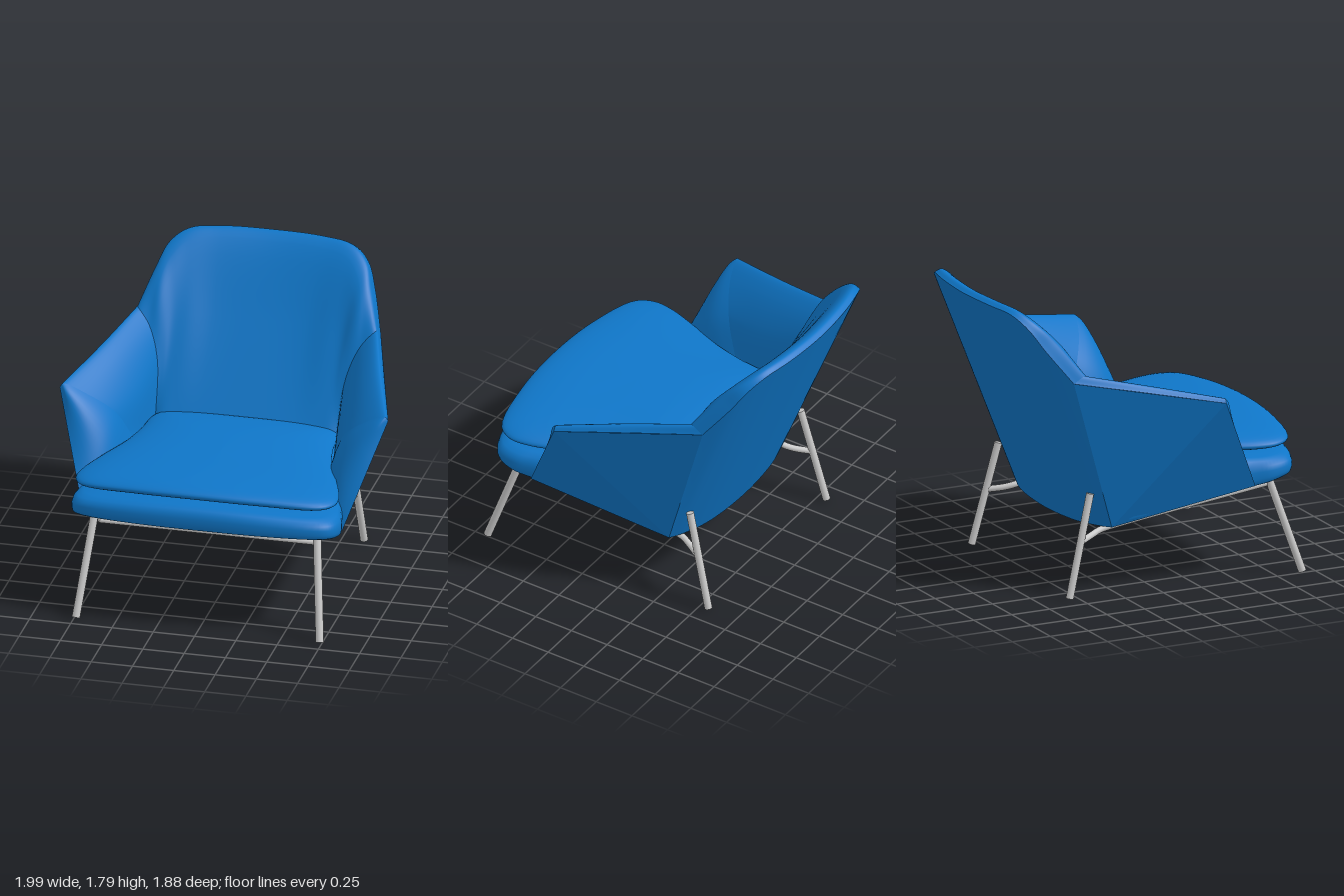
import * as THREE from 'three';

const V = (p) => new THREE.Vector3(...p);
const flipX = (p) => new THREE.Vector3(-p.x, p.y, p.z);
const spline = (pts, n, closed = false) => {
  const c = new THREE.CatmullRomCurve3(pts, closed, 'centripetal');
  return Array.from({ length: closed ? n : n + 1 }, (_, i) => c.getPoint(i / n));
};

// Surface through rows of points
function grid(rows, { flip = false, closed = false } = {}) {
  const n = rows[0].length, index = [];
  for (let j = 0; j < rows.length - 1; j++) {
    for (let i = 0; i < (closed ? n : n - 1); i++) {
      const a = j * n + i, b = j * n + (i + 1) % n, c = a + n, d = b + n;
      index.push(...(flip ? [a, b, c, b, d, c] : [a, c, b, b, c, d]));
    }
  }
  const g = new THREE.BufferGeometry().setFromPoints(rows.flat());
  g.setIndex(index);
  g.computeVertexNormals();
  return g;
}

// Smooth rows through a few control columns
function loft(columns, nv, nu) {
  const cols = columns.map((c) => spline(c, nv));
  const across = cols[0].map((_, i) => spline(cols.map((c) => c[i]), nu));
  return across[0].map((_, j) => across.map((line) => line[j]));
}

// Stations from back centre to arm front: outer edge, rim, three inner points, outer bottom
const STATIONS = [
  [[0, 1.765, -0.94], [0, 1.785, -0.9], [0, 1.74, -0.83], [0, 1.35, -0.57], [0, 0.78, -0.2], [0, 0.38, -0.4]],
  [[0.3, 1.765, -0.92], [0.3, 1.785, -0.88], [0.3, 1.74, -0.81], [0.28, 1.35, -0.56], [0.28, 0.78, -0.2], [0.28, 0.385, -0.385]],
  [[0.5, 1.75, -0.875], [0.49, 1.77, -0.835], [0.47, 1.72, -0.765], [0.42, 1.35, -0.53], [0.42, 0.78, -0.2], [0.42, 0.39, -0.36]],
  [[0.6, 1.68, -0.815], [0.595, 1.7, -0.76], [0.56, 1.64, -0.68], [0.5, 1.3, -0.49], [0.5, 0.78, -0.2], [0.5, 0.395, -0.335]],
  [[0.66, 1.55, -0.73], [0.65, 1.58, -0.65], [0.61, 1.5, -0.56], [0.54, 1.22, -0.43], [0.53, 0.78, -0.21], [0.57, 0.4, -0.31]],
  [[0.73, 1.35, -0.58], [0.72, 1.385, -0.5], [0.64, 1.3, -0.45], [0.57, 1.12, -0.37], [0.545, 0.78, -0.22], [0.63, 0.405, -0.28]],
  [[0.86, 1.268, -0.145], [0.835, 1.3, -0.12], [0.74, 1.22, -0.08], [0.62, 1.03, -0.08], [0.575, 0.78, -0.08], [0.71, 0.49, 0.15]],
  [[0.995, 1.185, 0.29], [0.975, 1.21, 0.29], [0.84, 1.14, 0.25], [0.69, 1.0, 0.16], [0.6, 0.78, 0.05], [0.79, 0.585, 0.585]],
].map((s) => s.map(V));

// Padded slab: closed outline shrunk ring by ring along a profile of [scale, level]
function pad(half, centreZ, profile, height) {
  const right = half.map(([x, z]) => new THREE.Vector3(x, 0, z));
  const left = right.slice(1, -1).reverse().map(flipX);
  const outline = spline([...right, ...left], 96, true);
  const rows = profile.map(([s, t]) => outline.map((p) => {
    const x = p.x * s, z = centreZ + (p.z - centreZ) * s;
    return new THREE.Vector3(x, height(x, z, t), z);
  }));
  return grid(rows, { closed: true });
}

export function createModel() {
  const group = new THREE.Group();
  const fabric = new THREE.MeshStandardMaterial({ color: 0x0f76c8, side: THREE.DoubleSide });
  fabric.name = 'blue fabric';
  const metal = new THREE.MeshStandardMaterial({ color: 0xcacaca });
  metal.name = 'pale metal';
  const add = (name, geometry, material = fabric) => {
    const m = new THREE.Mesh(geometry, material);
    m.name = name;
    group.add(m);
    return m;
  };

  // Backrest, front padding with rim and outer panel
  const half = STATIONS.slice(0, 6);
  const back = [...half.slice(1).reverse().map((s) => s.map(flipX)), ...half];
  add('backPadding', grid(loft(back.map((s) => s.slice(0, 5)), 28, 60), { flip: true }));
  add('backPanel', grid(loft(back.map((s) => [s[0], s[5]]), 8, 60)));

  // Arms: padding, folded outer panel and front facet
  const arm = STATIONS.slice(5);
  const padding = loft(arm.map((s) => s.slice(0, 5)), 28, 16);
  const tip = arm[2];
  const seam = padding[padding.length - 1];
  const edge = spline([tip[0], tip[5]], seam.length - 1);
  const bulge = new THREE.Vector3(-0.06, 0, 0.06);
  const facet = Array.from({ length: 11 }, (_, j) => seam.map((p, i) => {
    const t = j / 10, k = 4 * t * (1 - t) * Math.sin(Math.PI * 0.5 * i / (seam.length - 1));
    return edge[i].clone().lerp(p, t).addScaledVector(bulge, k);
  }));
  const panel = [[arm[0][0], arm[0][5]], [tip[0], tip[5]]];
  for (const side of ['left', 'right']) {
    const mirrored = side === 'right';
    const rows = (r) => (mirrored ? r.map((row) => row.map(flipX)) : r);
    add(side + 'ArmPadding', grid(rows(padding), { flip: !mirrored }));
    add(side + 'ArmFront', grid(rows(facet), { flip: mirrored }));
    const outer = grid(rows(panel), { flip: mirrored }).toNonIndexed();
    outer.computeVertexNormals();
    add(side + 'ArmPanel', outer);
  }

  // Seat base with sloping underside
  const baseOutline = [[0, -0.4], [0.28, -0.385], [0.5, -0.335], [0.63, -0.27], [0.71, 0.15], [0.785, 0.57],
    [0.81, 0.7], [0.785, 0.81], [0.71, 0.865], [0.4, 0.925], [0, 0.94]];
  const baseProfile = [[0, 0], [0.5, 0], [0.9, 0], [0.975, 0.01], [0.993, 0.08], [1, 0.25], [1, 0.5],
    [0.99, 0.7], [0.965, 0.85], [0.92, 0.94], [0.8, 0.99], [0.4, 1], [0, 1]];
  add('seatBase', pad(baseOutline, 0.25, baseProfile, (x, z, t) => {
    const low = 0.4 + 0.2 * (z + 0.3), high = 0.795 - 0.05 * (x / 0.8) ** 2;
    return low + (high - low) * t;
  }));

  // Loose seat cushion, crowned and drooping to the sides
  const cushionOutline = [[0, -0.28], [0.45, -0.28], [0.545, -0.25], [0.585, 0], [0.63, 0.2], [0.715, 0.42],
    [0.78, 0.62], [0.785, 0.74], [0.72, 0.835], [0.4, 0.91], [0, 0.935]];
  const cushionProfile = Array.from({ length: 25 }, (_, i) => {
    const a = Math.PI * (i / 24 - 0.5);
    return [i % 24 === 0 ? 0 : Math.sqrt(Math.cos(a)), Math.sin(a)];
  });
  add('seatCushion', pad(cushionOutline, 0.35, cushionProfile, (x, z, t) =>
    0.865 - 0.025 * (0.93 - z) - 0.04 * (x / 0.78) ** 2 + 0.066 * t));

  // Tubular frame
  const rod = (name, a, b, r) => {
    const d = b.clone().sub(a);
    const m = add(name, new THREE.CylinderGeometry(r, r, d.length(), 20), metal);
    m.position.copy(a).addScaledVector(d, 0.5);
    m.quaternion.setFromUnitVectors(new THREE.Vector3(0, 1, 0), d.normalize());
  };
  for (const [side, s] of [['left', 1], ['right', -1]]) {
    const P = (x, y, z) => new THREE.Vector3(x * s, y, z);
    rod(side + 'FrontLeg', P(0.738, 0.007, 0.92), P(0.675, 0.585, 0.73), 0.024);
    rod(side + 'RearLeg', P(0.635, 0.007, -0.56), P(0.595, 0.62, -0.405), 0.023);
    const path = new THREE.CatmullRomCurve3([P(0.67, 0.555, 0.73), P(0.6, 0.467, 0.22), P(0.545, 0.393, -0.2),
      P(0.535, 0.37, -0.31), P(0.56, 0.352, -0.38), P(0.612, 0.337, -0.475)], false, 'centripetal');
    add(side + 'SideRail', new THREE.TubeGeometry(path, 48, 0.019, 14), metal);
  }
  rod('frontCrossbar', V([-0.66, 0.54, 0.69]), V([0.66, 0.54, 0.69]), 0.015);

  return group;
}
